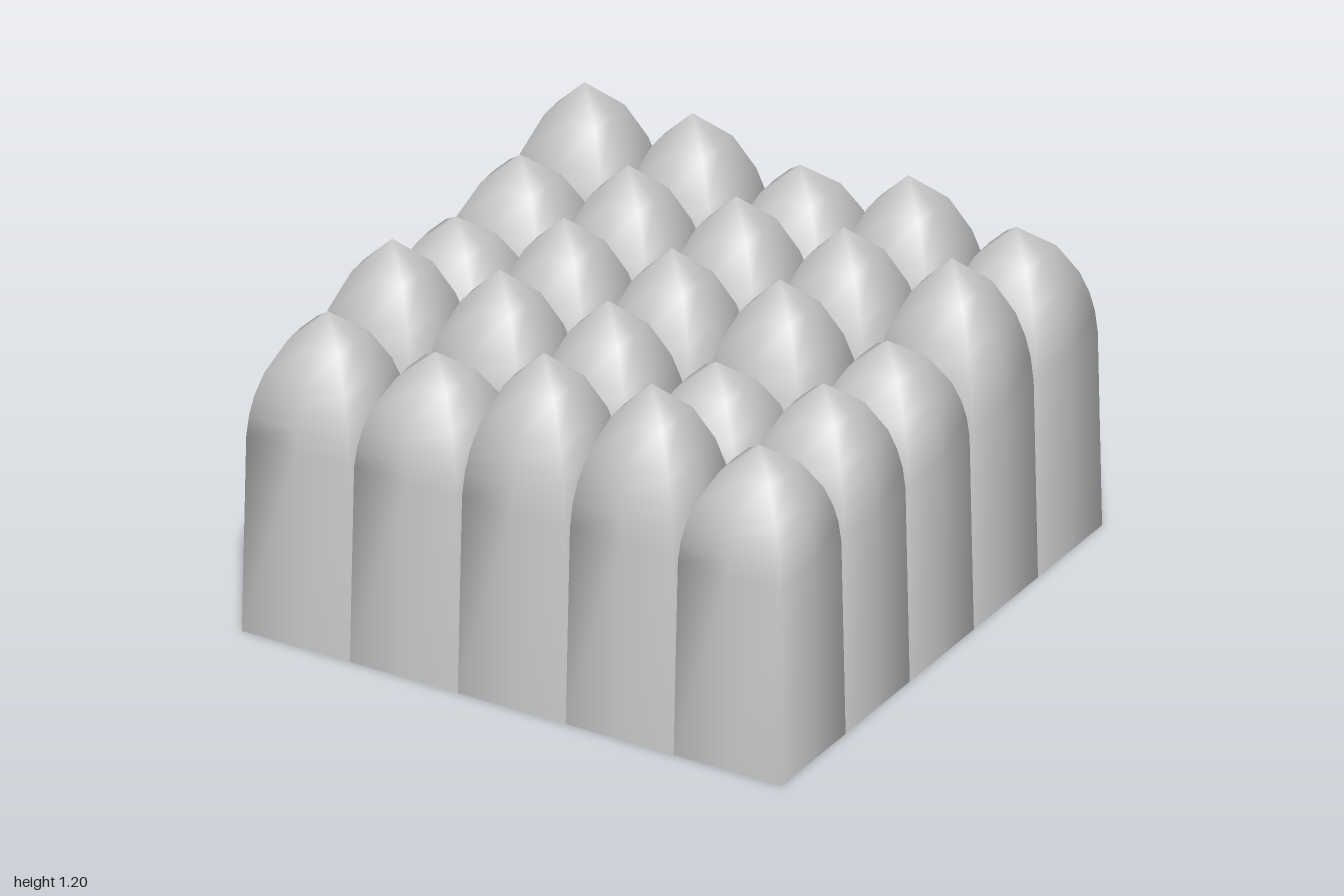
import * as THREE from 'three';

const CELL = 0.4;    // width of one bud
const VALLEY = 0.67; // height of the inner valleys

// bud heights, rows from back to front, columns along x
const HEIGHTS = [
  [1.2, 1.2, 1.125, 1.2, 1.125],
  [1.125, 1.2, 1.2, 1.2, 1.2],
  [1.09, 1.2, 1.2, 1.2, 1.09],
  [1.2, 1.2, 1.2, 1.09, 1.125],
  [1.125, 1.09, 1.2, 1.2, 1.09],
];

// square outline, counter-clockwise from above: corners and side middles
const SQUARE = [[1, 1], [1, 0], [1, -1], [0, -1], [-1, -1], [-1, 0], [-1, 1], [0, 1]];

// dome profile: [half width, share of the dome's height, corner roundness]
const PROFILE = [
  [0.99, 0.08, 0.96], [0.965, 0.25, 0.95], [0.91, 0.4, 0.94],
  [0.79, 0.57, 0.94], [0.5, 0.81, 0.94],
];

// valleys lie high inside and drop to the ground on the outer rim
const cornerHeight = (x, z) => (Math.max(Math.abs(x), Math.abs(z)) > 0.9 ? 0 : VALLEY);

function budGeometry(cx, cz, height) {
  const h = CELL / 2;
  const n = SQUARE.length;
  const positions = [];
  const index = [];

  // foot ring: straight edges between the cell's corner heights
  SQUARE.forEach(([sx, sz], i) => {
    const ends = sx && sz ? [SQUARE[i]] : [SQUARE[(i + n - 1) % n], SQUARE[(i + 1) % n]];
    const y = ends.reduce((sum, [ex, ez]) => sum + cornerHeight(cx + ex * h, cz + ez * h), 0) / ends.length;
    positions.push(sx * h, y, sz * h);
  });

  // dome rings and the pointed tip
  for (const [r, rise, round] of PROFILE) {
    for (const [sx, sz] of SQUARE) {
      const k = h * r * (sx && sz ? round : 1);
      positions.push(sx * k, VALLEY + (height - VALLEY) * rise, sz * k);
    }
  }
  const tip = positions.length / 3;
  positions.push(0, height, 0);

  for (let j = 0; j <= PROFILE.length; j++) {
    for (let i = 0; i < n; i++) {
      const a = j * n + i;
      const b = j * n + (i + 1) % n;
      if (j === PROFILE.length) index.push(a, b, tip);
      else index.push(a, b, b + n, a, b + n, a + n);
    }
  }

  const geometry = new THREE.BufferGeometry();
  geometry.setAttribute('position', new THREE.Float32BufferAttribute(positions, 3));
  geometry.setIndex(index);
  geometry.computeVertexNormals();
  return geometry;
}

export function createModel() {
  const group = new THREE.Group();
  group.name = 'budBlock';
  const material = new THREE.MeshStandardMaterial({ color: 0xcccccc, side: THREE.DoubleSide });

  // five by five hollow buds, open below
  HEIGHTS.forEach((row, j) => row.forEach((height, i) => {
    const x = (i - 2) * CELL;
    const z = (j - 2) * CELL;
    const bud = new THREE.Mesh(budGeometry(x, z, height), material);
    bud.name = `bud row ${j + 1} column ${i + 1}`;
    bud.position.set(x, 0, z);
    group.add(bud);
  }));
  return group;
}
